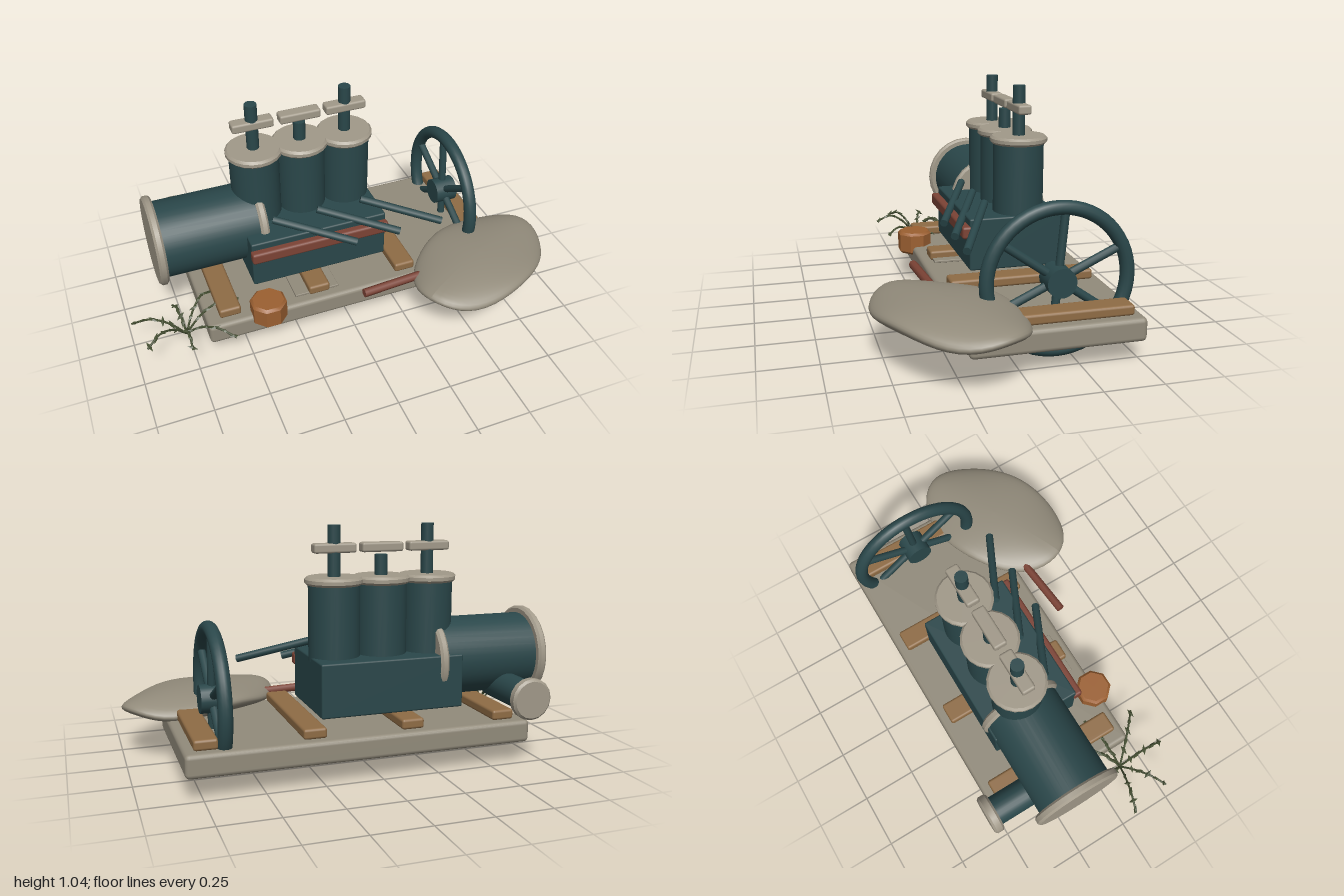
import * as THREE from 'three';
import { RoundedBoxGeometry } from 'three/addons/geometries/RoundedBoxGeometry.js';
import { toCreasedNormals } from 'three/addons/utils/BufferGeometryUtils.js';

const mat = (name, color) => Object.assign(new THREE.MeshStandardMaterial({ color }), { name });

export function createModel() {
  const model = new THREE.Group();
  model.name = 'pumpEngine';
  const iron = mat('dark teal iron', 0x2a474a);
  const stone = mat('stone', 0x928b7b);
  const trim = mat('pale trim', 0xa19989);
  const wood = mat('timber', 0x8f6c45);
  const stumpWood = mat('orange wood', 0x9c6031);
  const rust = mat('rust red', 0x7c4335);
  const plant = mat('olive plant', 0x465033);
  const V = (x, y, z) => new THREE.Vector3(x, y, z);

  const add = (name, geometry, material, pos = [0, 0, 0], parent = model) => {
    const mesh = new THREE.Mesh(geometry, material);
    mesh.name = name;
    mesh.position.set(...pos);
    parent.add(mesh);
    return mesh;
  };
  const box = (name, material, pos, size, r = 0.01) =>
    add(name, new RoundedBoxGeometry(...size, 2, r), material, pos);
  // Cylinder between two points
  const rod = (name, material, a, b, r, sides = 20, parent = model) => {
    const mesh = add(name, new THREE.CylinderGeometry(r, r, a.distanceTo(b), sides), material,
      a.clone().lerp(b, 0.5).toArray(), parent);
    mesh.quaternion.setFromUnitVectors(V(0, 1, 0), b.clone().sub(a).normalize());
    return mesh;
  };
  // Disc with bevelled rims between two points
  const disc = (name, material, a, b, r, bevel = 0.01, sides = 20) => {
    const h = a.distanceTo(b) / 2;
    const profile = [[0, -h], [r - bevel, -h], [r, -h + bevel], [r, h - bevel], [r - bevel, h], [0, h]];
    const g = new THREE.LatheGeometry(profile.map(p => new THREE.Vector2(...p)), sides);
    const mesh = add(name, toCreasedNormals(g, 0.6), material, a.clone().lerp(b, 0.5).toArray());
    mesh.quaternion.setFromUnitVectors(V(0, 1, 0), b.clone().sub(a).normalize());
    return mesh;
  };

  // Base slab, thin plate and cross timbers
  box('baseSlab', stone, [0.07, 0.15, -0.147], [1.5, 0.1, 0.727], 0.02);
  box('groundPlate', stone, [-0.155, 0.206, 0.07], [0.21, 0.012, 0.19], 0.003);
  for (const x of [-0.57, -0.145, 0.285, 0.73])
    box('crossTimber', wood, [x, 0.222, -0.147], [0.1, 0.045, 0.645], 0.012);

  // Crankcase and side rail
  box('crankcase', iron, [-0.1, 0.363, -0.148], [0.65, 0.236, 0.425], 0.008);
  box('sideRail', rust, [-0.1, 0.42, 0.075], [0.66, 0.056, 0.046], 0.012);

  // Three upright cylinders with caps, stems, rockers and slanted outlets
  [-0.32, -0.102, 0.114].forEach((x, i) => {
    const z = -0.187;
    rod('engineCylinder', iron, V(x, 0.46, z), V(x, 0.8, z), 0.113, 28);
    disc('cylinderCap', trim, V(x, 0.79, z), V(x, 0.825, z), 0.128);
    rod('valveStem', iron, V(x, 0.82, z), V(x, i === 1 ? 0.914 : 1.045, z), 0.028, 14);
    box('rockerBar', trim, [x, 0.947, z], [0.19, 0.042, 0.06], 0.01);
    const o = i * 0.214;
    rod('outletPipe', iron, V(-0.295 + o, 0.527, -0.025), V(0.05 + o, 0.422, 0.142), 0.018, 12);
  });

  // Horizontal boiler with end flanges
  rod('boiler', iron, V(-0.81, 0.442, -0.18), V(-0.33, 0.442, -0.18), 0.177, 36);
  disc('boilerEndFlange', trim, V(-0.832, 0.442, -0.18), V(-0.792, 0.442, -0.18), 0.208, 0.01, 24);
  disc('boilerInnerFlange', trim, V(-0.357, 0.436, -0.18), V(-0.317, 0.436, -0.18), 0.195, 0.01, 24);

  // Rear inlet stub
  rod('inletPipe', iron, V(-0.662, 0.305, -0.2), V(-0.662, 0.305, -0.53), 0.068, 24);
  disc('inletFlange', trim, V(-0.662, 0.303, -0.51), V(-0.662, 0.303, -0.558), 0.092, 0.01, 16);

  // Spoked flywheel
  const wheel = new THREE.Group();
  wheel.name = 'flywheel';
  wheel.position.set(0.655, 0.333, -0.187);
  model.add(wheel);
  add('wheelRim', new THREE.TorusGeometry(0.297, 0.03, 14, 56), iron, [0, 0, 0], wheel).rotation.y = Math.PI / 2;
  rod('wheelHub', iron, V(-0.053, 0, 0), V(0.053, 0, 0), 0.062, 18, wheel);
  for (let i = 0; i < 6; i++) {
    const a = THREE.MathUtils.degToRad(25 + i * 60);
    rod('wheelSpoke', iron, V(0, 0, 0), V(0, 0.29 * Math.sin(a), -0.29 * Math.cos(a)), 0.018, 10, wheel);
  }

  // Lens-shaped boulder with a wavy rim
  const lens = new THREE.SphereGeometry(1, 48, 24);
  const p = lens.attributes.position;
  for (let i = 0; i < p.count; i++) {
    const x = p.getX(i), y = p.getY(i), z = p.getZ(i);
    const wave = 0.014 * (x * x + z * z) ** 2 * Math.cos(4 * Math.atan2(z, x));
    p.setXYZ(i, x * 0.389, y * 0.067 + wave, z * 0.257);
  }
  lens.computeVertexNormals();
  add('flatBoulder', lens, stone, [0.635, 0.228, 0.26]).rotation.y = 0.48;

  // Loose stump and bar
  disc('stump', stumpWood, V(-0.4, 0.16, 0.195), V(-0.4, 0.267, 0.195), 0.084, 0.012, 8).rotation.y = Math.PI / 8;
  rod('looseBar', rust, V(0.03, 0.232, 0.283), V(0.33, 0.227, 0.257), 0.02, 8);

  // Sprawling plant: arching stalks carrying small leaves
  const tips = [[-0.225, -0.07], [-0.19, 0.12], [-0.01, 0.21], [0.19, 0.18], [0.26, -0.04], [0.15, -0.12], [-0.03, -0.12]];
  const plantGroup = new THREE.Group();
  plantGroup.name = 'plant';
  plantGroup.position.set(-0.77, 0.115, 0.12);
  model.add(plantGroup);
  const leaf = new THREE.OctahedronGeometry(1);
  tips.forEach(([x, z], i) => {
    const rise = 0.09 + 0.015 * (i % 3);
    const curve = new THREE.CatmullRomCurve3([V(0, 0, 0), V(x * 0.3, rise * 0.75, z * 0.3),
      V(x * 0.65, rise * 1.1, z * 0.65), V(x, rise * 0.85, z)]);
    add('stalk', new THREE.TubeGeometry(curve, 10, 0.005, 5), plant, [0, 0, 0], plantGroup);
    for (let k = 1; k <= 5; k++) {
      const t = 0.15 + k * 0.16;
      const blade = add('leaf', leaf, plant, curve.getPointAt(t).toArray(), plantGroup);
      blade.scale.set(0.009, 0.007, 0.025);
      blade.lookAt(blade.position.clone().add(curve.getTangentAt(t)));
      blade.rotateY(k % 2 ? 0.4 : -0.4);
    }
  });
  return model;
}
